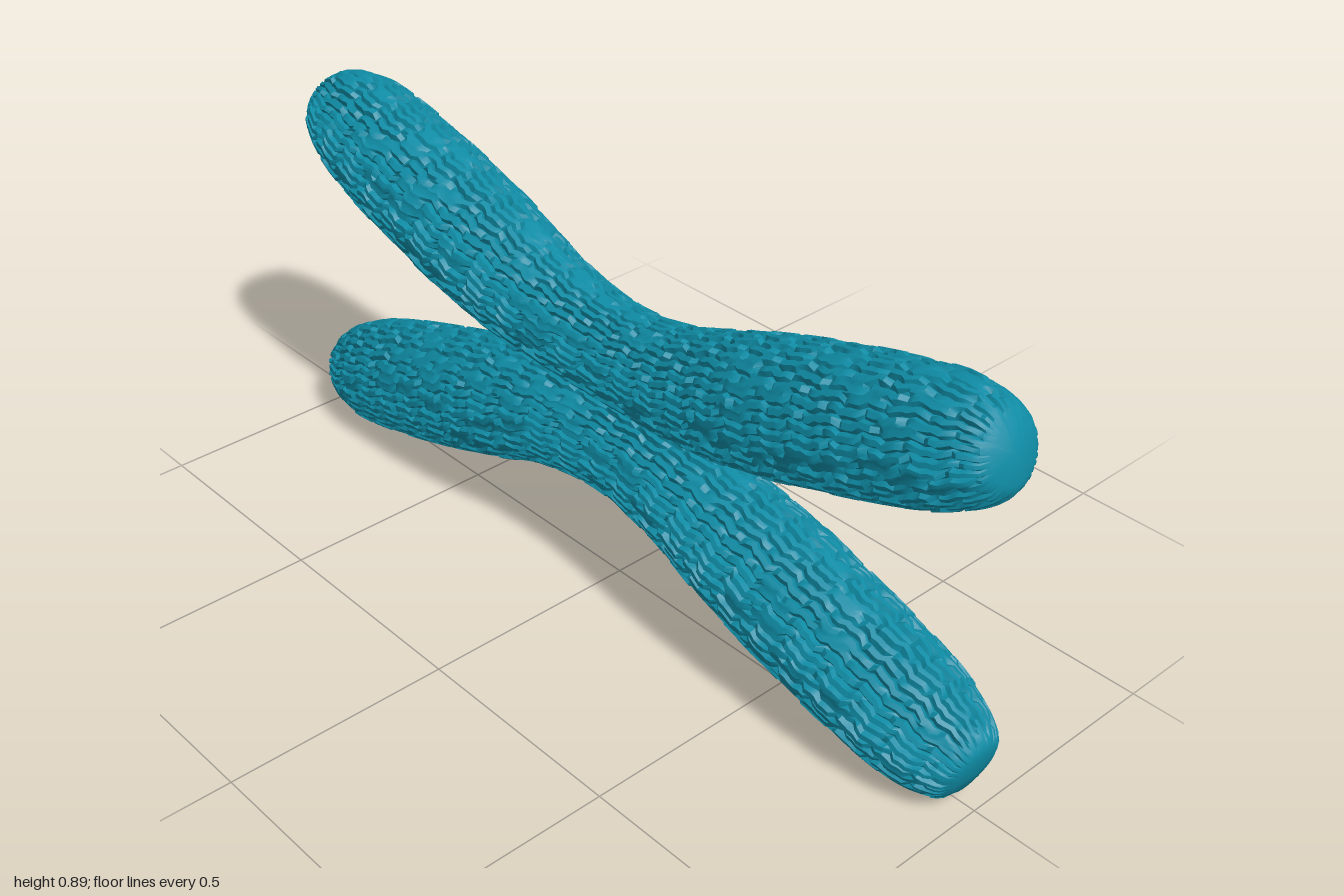
import * as THREE from 'three';
import { toCreasedNormals } from 'three/addons/utils/BufferGeometryUtils.js';

const CELLS = 36;          // scales around the arm
const COLS = CELLS * 4;    // vertices per ring
const RINGS = 164;         // rings along the arm
const SCALE_LENGTH = 7;    // rings per scale
const HEIGHT = 0.91;

// repeatable value in 0..1 for a pair of whole numbers
function hash(a, b) {
  const s = Math.sin(a * 127.1 + b * 311.7) * 43758.5453;
  return s - Math.floor(s);
}

// spine of one strand: x, height, radius
function strandCurve() {
  const half = [
    [0.2, 0.584, 0.117], [0.4, 0.635, 0.136], [0.6, 0.697, 0.139], [0.8, 0.757, 0.132],
    [0.88, 0.782, 0.121], [0.94, 0.797, 0.102], [0.975, 0.806, 0.08], [0.988, 0.81, 0.055],
  ];
  const left = half.map(([x, y, r]) => new THREE.Vector3(-x, y, r)).reverse();
  const right = half.map(([x, y, r]) => new THREE.Vector3(x, y, r));
  return new THREE.CatmullRomCurve3([...left, new THREE.Vector3(0, 0.567, 0.105), ...right]);
}

// staggered scales parted by narrow grooves
function relief(i, j) {
  const cell = Math.floor(j / 4);
  const shifted = i + (cell % 2) * 3 + Math.floor(hash(cell, 5) * 3);
  const scale = Math.floor(shifted / SCALE_LENGTH);
  const value = hash(cell, scale);
  if (j % 4 === 0) return value > 0.2 ? -0.011 : 0;
  if (shifted % SCALE_LENGTH === 0) return -0.008;
  return (value - 0.5) * 0.006;
}

function strandGeometry() {
  const curve = strandCurve();
  const positions = [];
  const index = [];
  for (let i = 0; i <= RINGS; i++) {
    const p = curve.getPointAt(i / RINGS);
    const t = curve.getTangentAt(i / RINGS).setZ(0).normalize();
    const fade = Math.min(1, Math.min(i, RINGS - i) / 5);
    const wobble = 0.03 * Math.sin(i * 0.9) + 0.02 * Math.sin(i * 2.3);
    for (let j = 0; j < COLS; j++) {
      const angle = (j / COLS) * Math.PI * 2 + wobble * fade;
      const r = p.z + relief(i, j) * fade;
      const up = r * Math.cos(angle);
      positions.push(p.x - t.y * up, p.y + t.x * up, r * Math.sin(angle));
    }
  }
  for (let i = 0; i < RINGS; i++) {
    for (let j = 0; j < COLS; j++) {
      const k = (j + 1) % COLS;
      const a = i * COLS + j, b = i * COLS + k;
      const c = a + COLS, d = b + COLS;
      index.push(a, b, c, b, d, c);
    }
  }
  // smooth round tips
  const start = positions.length / 3;
  positions.push(-0.995, 0.811, 0, 0.995, 0.811, 0);
  const last = RINGS * COLS;
  for (let j = 0; j < COLS; j++) {
    const k = (j + 1) % COLS;
    index.push(start, k, j, start + 1, last + j, last + k);
  }
  const geometry = new THREE.BufferGeometry();
  geometry.setAttribute('position', new THREE.Float32BufferAttribute(positions, 3));
  geometry.setIndex(index);
  return toCreasedNormals(geometry, 0.6);
}

export function createModel() {
  const group = new THREE.Group();
  group.name = 'chromosome';
  const teal = new THREE.MeshStandardMaterial({ color: 0x0f8ca5 });
  teal.name = 'teal';
  const geometry = strandGeometry();

  const upper = new THREE.Mesh(geometry, teal);
  upper.name = 'upperStrand';

  // the lower strand is the upper one turned over
  const lower = new THREE.Mesh(geometry, teal);
  lower.name = 'lowerStrand';
  lower.rotation.x = Math.PI;
  lower.position.y = HEIGHT;

  group.add(upper, lower);
  return group;
}
